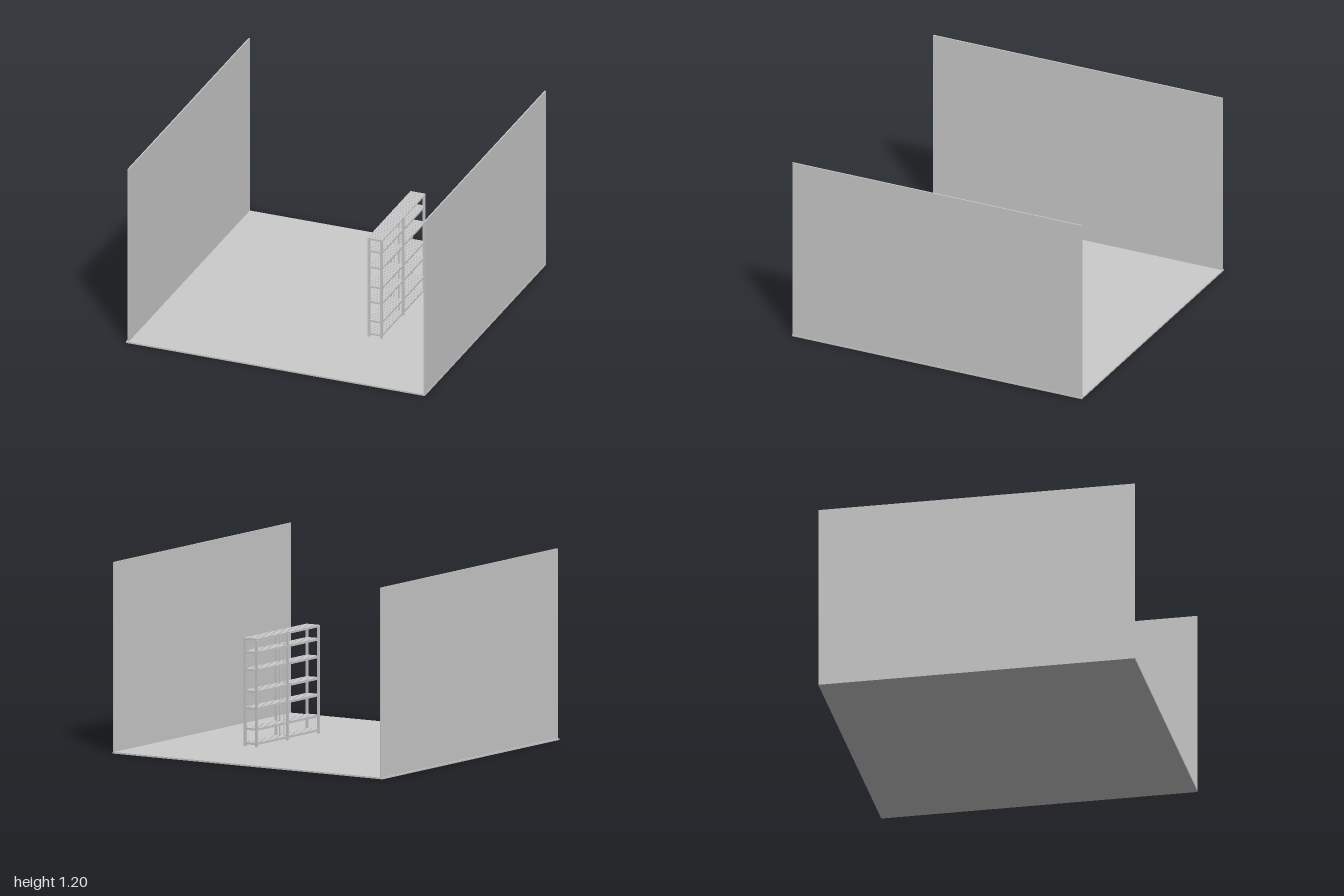
import * as THREE from 'three';

export function createModel() {
  const model = new THREE.Group();
  const material = new THREE.MeshStandardMaterial({ color: 0xcccccc });

  // Box given by its min and max corners
  function box(parent, name, [x0, y0, z0], [x1, y1, z1]) {
    const mesh = new THREE.Mesh(new THREE.BoxGeometry(x1 - x0, y1 - y0, z1 - z0), material);
    mesh.position.set((x0 + x1) / 2, (y0 + y1) / 2, (z0 + z1) / 2);
    mesh.name = name;
    parent.add(mesh);
  }

  // Floor slab and the two facing walls
  box(model, 'floor', [-1, 0, -1], [1, 0.01, 1]);
  box(model, 'rightWall', [-0.99, 0.01, -1], [-0.982, 1.2, 1]);
  box(model, 'leftWall', [0.99, 0.01, -1], [0.998, 1.2, 1]);

  // Slatted shelving: two bays side by side along z
  const shelving = new THREE.Group();
  shelving.name = 'shelving';
  model.add(shelving);
  const xMin = 0.36, xMax = 0.46, zMin = -0.345, zMid = 0.012, zMax = 0.37;
  const post = 0.015, top = 0.68;
  const levels = [0.03, 0.12, 0.25, 0.355, 0.49, 0.6, 0.683];

  // Three pairs of corner posts joined by cross bars
  for (const z of [zMin, zMid - post / 2, zMax - post]) {
    for (const x of [xMin, xMax - post]) {
      box(shelving, 'post', [x, 0.01, z], [x + post, top, z + post]);
    }
    for (const y of levels) {
      box(shelving, 'crossBar', [xMin + post, y - 0.008, z + 0.004], [xMax - post, y - 0.002, z + post - 0.004]);
    }
  }

  // Slim uprights inside the middle frame
  for (const x of [0.393, 0.425]) {
    box(shelving, 'innerUpright', [x - 0.003, 0.03, zMid - 0.003], [x + 0.003, top, zMid + 0.003]);
  }

  // Shelves: crosswise slats resting on two long rails
  const slats = 18;
  for (const [z0, z1] of [[zMin, zMid], [zMid, zMax]]) {
    const pitch = (z1 - z0) / slats;
    levels.forEach((y, i) => {
      const shelf = new THREE.Group();
      shelf.name = 'shelf';
      shelving.add(shelf);
      const inset = i === levels.length - 1 ? -0.001 : 0.003;
      for (let k = 0; k < slats; k++) {
        const z = z0 + k * pitch;
        box(shelf, 'slat', [xMin + inset, y - 0.002, z + 0.0015], [xMax - inset, y + 0.006, z + pitch - 0.0015]);
      }
      for (const x of [xMin + 0.004, xMax - 0.01]) {
        box(shelf, 'rail', [x, y - 0.008, z0 + 0.003], [x + 0.006, y - 0.002, z1 - 0.003]);
      }
    });
  }
  return model;
}
